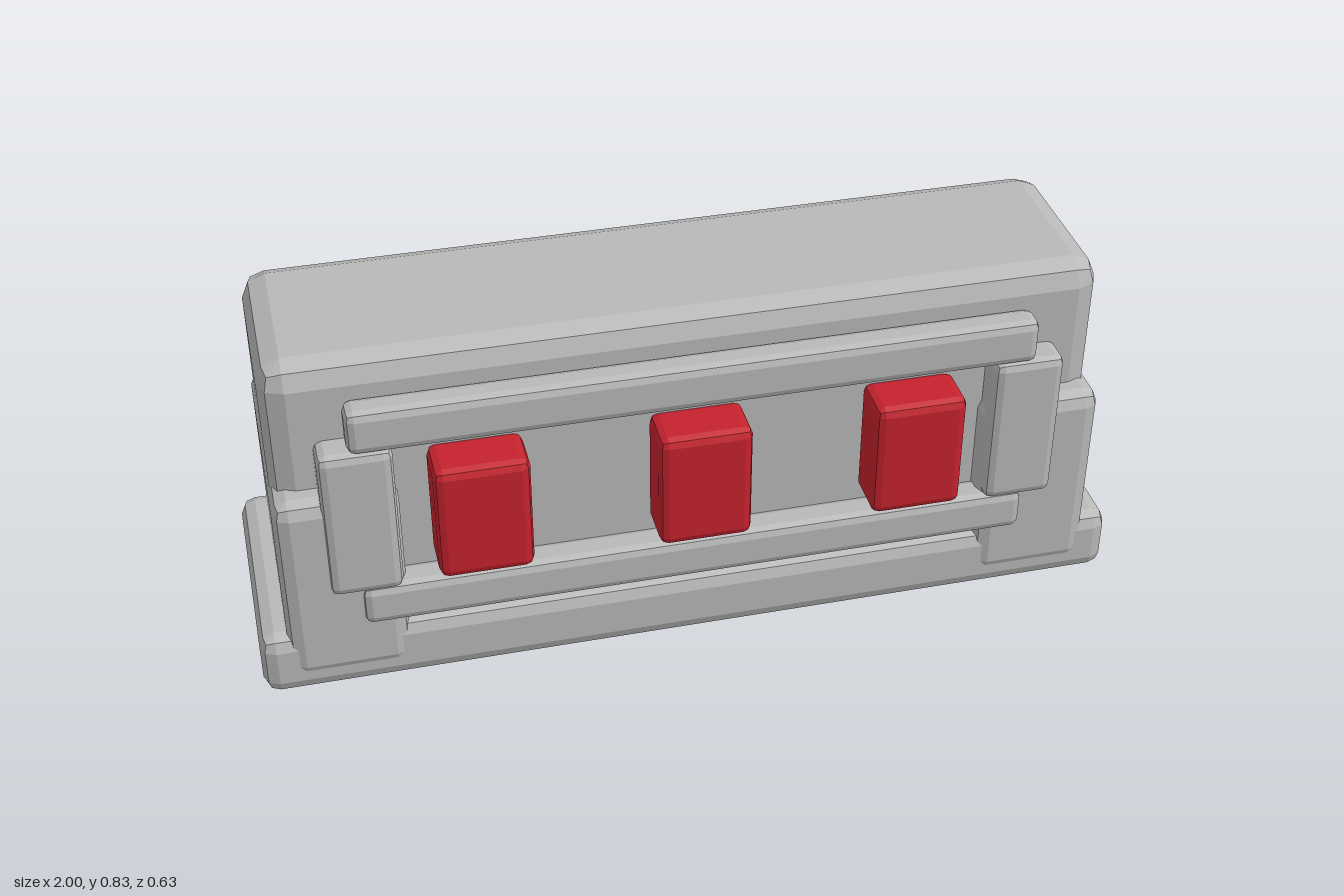
import * as THREE from 'three';

// Box given by its min/max corners, with every edge rounded in two flat steps
function bevelBox([x0, y0, z0], [x1, y1, z1], r) {
  const half = [(x1 - x0) / 2, (y1 - y0) / 2, (z1 - z0) / 2];
  const geo = new THREE.BoxGeometry(3, 3, 3, 3, 3, 3);
  const pos = geo.attributes.position;
  const p = new THREE.Vector3();
  const dir = new THREE.Vector3();
  for (let i = 0; i < pos.count; i++) {
    p.fromBufferAttribute(pos, i);
    const out = p.toArray().map((v) => (Math.abs(v) > 1 ? Math.sign(v) : 0));
    dir.fromArray(out).normalize().multiplyScalar(r);
    const q = p.toArray().map((v, k) => Math.sign(v) * (half[k] - r));
    pos.setXYZ(i, q[0] + dir.x, q[1] + dir.y, q[2] + dir.z);
  }
  const flat = geo.toNonIndexed();
  flat.computeVertexNormals();
  flat.translate((x0 + x1) / 2, (y0 + y1) / 2, (z0 + z1) / 2);
  return flat;
}

export function createModel() {
  const group = new THREE.Group();
  const grey = new THREE.MeshStandardMaterial({ color: 0xb8b8b8 });
  grey.name = 'grey';
  const red = new THREE.MeshStandardMaterial({ color: 0xc6222e });
  red.name = 'red';

  const add = (name, min, max, r, material = grey) => {
    const mesh = new THREE.Mesh(bevelBox(min, max, r), material);
    mesh.name = name;
    group.add(mesh);
  };

  // Plinth and main body
  add('base', [-1, 0, -0.308], [1, 0.157, 0.254], 0.035);
  add('body', [-0.932, 0.05, -0.252], [0.932, 0.829, 0.197], 0.055);

  // End blocks and upright frame pieces, mirrored
  for (const [side, s] of [['left', 1], ['right', -1]]) {
    const span = (a, b) => (s > 0 ? [a, b] : [-b, -a]);
    const [b0, b1] = span(0.663, 0.937);
    add(side + 'EndBlock', [b0, 0.04, -0.314], [b1, 0.522, 0.26], 0.035);
    const [f0, f1] = span(0.67, 0.832);
    add(side + 'FrameUpright', [f0, 0.272, 0.18], [f1, 0.645, 0.272], 0.02);
  }

  // Horizontal frame rails
  add('topRail', [-0.765, 0.642, 0.198], [0.765, 0.748, 0.271], 0.02);
  add('bottomRail', [-0.765, 0.178, 0.19], [0.765, 0.28, 0.271], 0.02);

  // Three red front panels
  for (const x of [-0.49, 0, 0.488]) {
    add('redPanel', [x - 0.105, 0.313, 0.19], [x + 0.105, 0.599, 0.315], 0.02, red);
  }
  return group;
}
